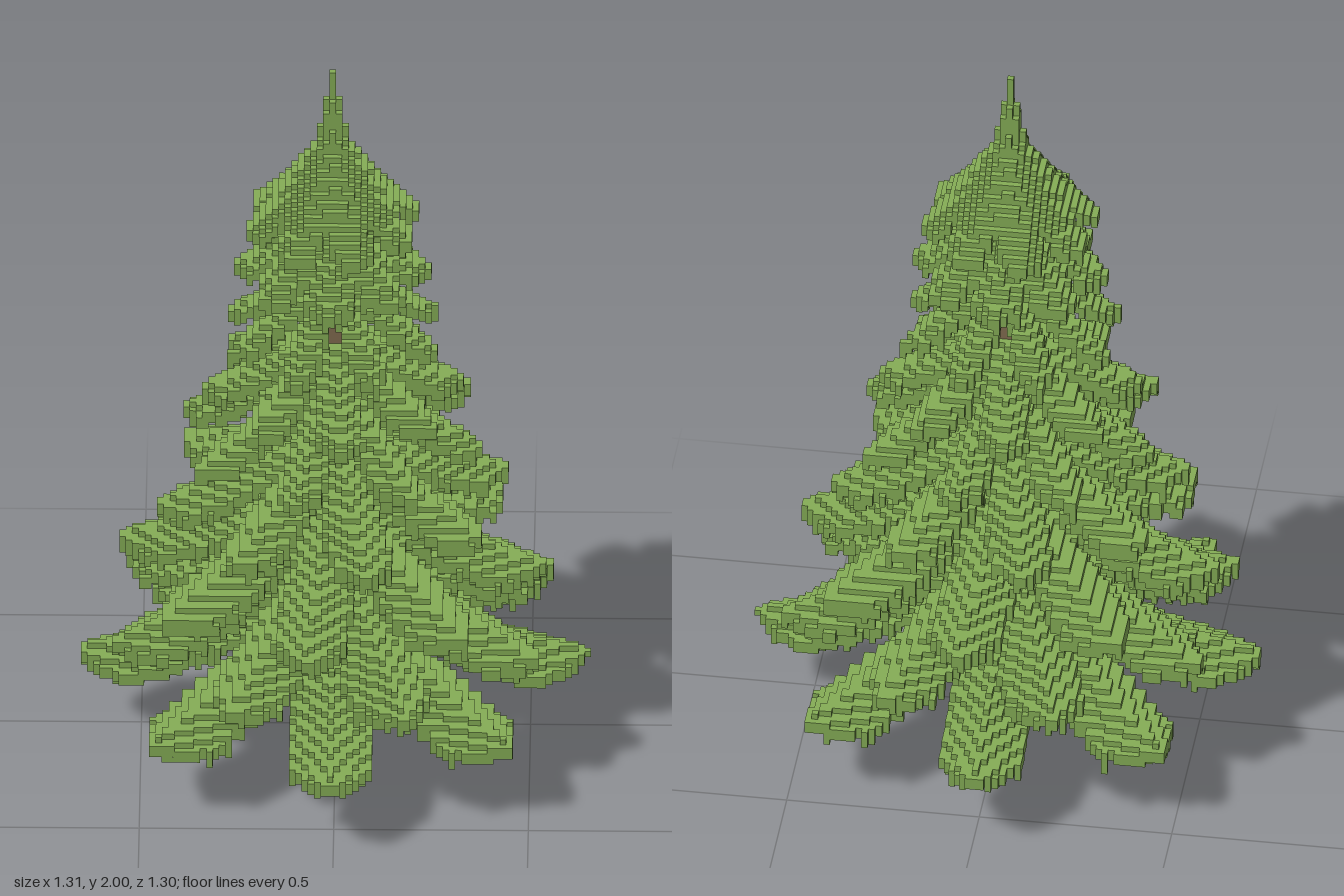
import * as THREE from 'three';

const S = 2 / 122;              // voxel edge
const NX = 85, NY = 122, MID = 42;
const DIM = [NX, NY, NX];
const LEAF = 1, WOOD = 2;
const index = (x, y, z) => (y * NX + z) * NX + x;

// Tiers of boughs: reach, tip height, rise to the trunk, half width, curve of the rise
const TIERS = [
  [0.655, 0.235, 0.23, 0.112, 1.4],
  [0.595, 0.375, 0.21, 0.102, 1.1],
  [0.55, 0.54, 0.175, 0.097, 1.0],
  [0.46, 0.735, 0.165, 0.082, 1.0],
  [0.405, 0.915, 0.17, 0.06, 1.0],
  [0.34, 1.05, 0.15, 0.062, 1.0],
  [0.29, 1.205, 0.18, 0.046, 0.85],
  [0.252, 1.405, 0.20, 0.064, 1.0],
  [0.235, 1.56, 0.30, 0.058, 1.35],
];
const BOUGHS = 8;
const TURN = THREE.MathUtils.degToRad(26);   // twist from one tier to the next

function fillColumn(grid, x, z, low, high, kind) {
  const from = Math.max(0, Math.round(low / S));
  const to = Math.min(NY, Math.max(from + 1, Math.round(high / S)));
  for (let y = from; y < to; y++) grid[index(x, y, z)] = kind;
}

// Half width of a bough at t (0 trunk, 1 tip), with a toothed edge
function boughWidth(t, along, width) {
  const taper = Math.min(1, (1 - t) / 0.19 + 0.12);
  const root = THREE.MathUtils.lerp(0.5, 1, Math.min(1, t / 0.6));
  const tooth = 0.88 + 0.14 * ((along / 0.05) % 1);
  return width * taper * root * tooth;
}

function growTier(grid, [reach, tip, rise, width, curve], turn) {
  const step = (Math.PI * 2) / BOUGHS;
  for (let z = 0; z < NX; z++) for (let x = 0; x < NX; x++) {
    const px = (x - MID) * S, pz = (z - MID) * S;
    const r = Math.hypot(px, pz);
    const angle = Math.atan2(pz, px) - turn;
    const off = angle - Math.round(angle / step) * step;
    const along = r * Math.cos(off), across = Math.abs(r * Math.sin(off));
    const t = along / reach;
    if (t > 1 || across > boughWidth(t, along, width)) continue;
    // ridge along the middle, sides hanging down, small teeth underneath
    const top = tip + rise * Math.pow(1 - t, curve) - 0.46 * across;
    const fringe = (x * 7 + z * 5) % 11 === 0 ? S : 0;
    fillColumn(grid, x, z, top - 0.037 - fringe, top, LEAF);
  }
}

// Round upright shape whose radius depends on height
function growRound(grid, low, high, radiusAt, kind) {
  for (let y = Math.round(low / S); y < Math.round(high / S); y++) {
    const radius = radiusAt((y + 0.5) * S);
    for (let z = 0; z < NX; z++) for (let x = 0; x < NX; x++) {
      if (Math.hypot(x - MID, z - MID) * S <= radius) grid[index(x, y, z)] = kind;
    }
  }
}

// Outer faces of one kind of voxel, joined into strips
function voxelGeometry(grid, kind) {
  const at = (c) => (c.every((v, i) => v >= 0 && v < DIM[i]) ? grid[index(...c)] : 0);
  const positions = [], normals = [], indices = [];
  for (let n = 0; n < 3; n++) for (const side of [1, -1]) {
    const u = (n + 1) % 3, w = (n + 2) % 3;
    const shown = (c) => {
      if (at(c) !== kind) return false;
      const next = [...c];
      next[n] += side;
      return at(next) === 0;
    };
    const addQuad = (layer, row, start, end) => {
      const base = positions.length / 3;
      for (const [a, b] of [[start, row], [end, row], [end, row + 1], [start, row + 1]]) {
        const p = [0, 0, 0], normal = [0, 0, 0];
        p[n] = layer + (side > 0 ? 1 : 0);
        p[u] = a;
        p[w] = b;
        normal[n] = side;
        // the trunk stands half a voxel to the right of the middle
        positions.push((p[0] - MID - 1) * S, p[1] * S, (p[2] - MID - 0.5) * S);
        normals.push(...normal);
      }
      const order = side > 0 ? [0, 1, 2, 0, 2, 3] : [0, 2, 1, 0, 3, 2];
      indices.push(...order.map((i) => base + i));
    };
    for (let layer = 0; layer < DIM[n]; layer++) for (let row = 0; row < DIM[w]; row++) {
      let start = -1;
      for (let i = 0; i <= DIM[u]; i++) {
        const c = [0, 0, 0];
        c[n] = layer;
        c[w] = row;
        c[u] = i;
        const visible = i < DIM[u] && shown(c);
        if (visible && start < 0) start = i;
        if (!visible && start >= 0) {
          addQuad(layer, row, start, i);
          start = -1;
        }
      }
    }
  }
  const geometry = new THREE.BufferGeometry();
  geometry.setAttribute('position', new THREE.Float32BufferAttribute(positions, 3));
  geometry.setAttribute('normal', new THREE.Float32BufferAttribute(normals, 3));
  geometry.setIndex(indices);
  return geometry;
}

export function createModel() {
  const grid = new Uint8Array(NX * NY * NX);

  // boughs, with one tip slightly longer on the left
  TIERS.forEach((tier, i) => growTier(grid, tier, i * TURN));
  fillColumn(grid, MID + 40, MID, 0.215, 0.235, LEAF);

  // leader shoot at the top, then the trunk
  growRound(grid, 1.74, 2, (y) => (y > 1.92 ? 0.009 : 0.017 + (1.92 - y) * 0.18), LEAF);
  growRound(grid, 0, 1.55, (y) => 0.045 - 0.014 * y, WOOD);

  const model = new THREE.Group();
  model.name = 'firTree';
  for (const [name, kind, color] of [['foliage', LEAF, 0x86ae56], ['trunk', WOOD, 0x826c50]]) {
    const mesh = new THREE.Mesh(voxelGeometry(grid, kind), new THREE.MeshStandardMaterial({ color }));
    mesh.name = name;
    model.add(mesh);
  }
  return model;
}
